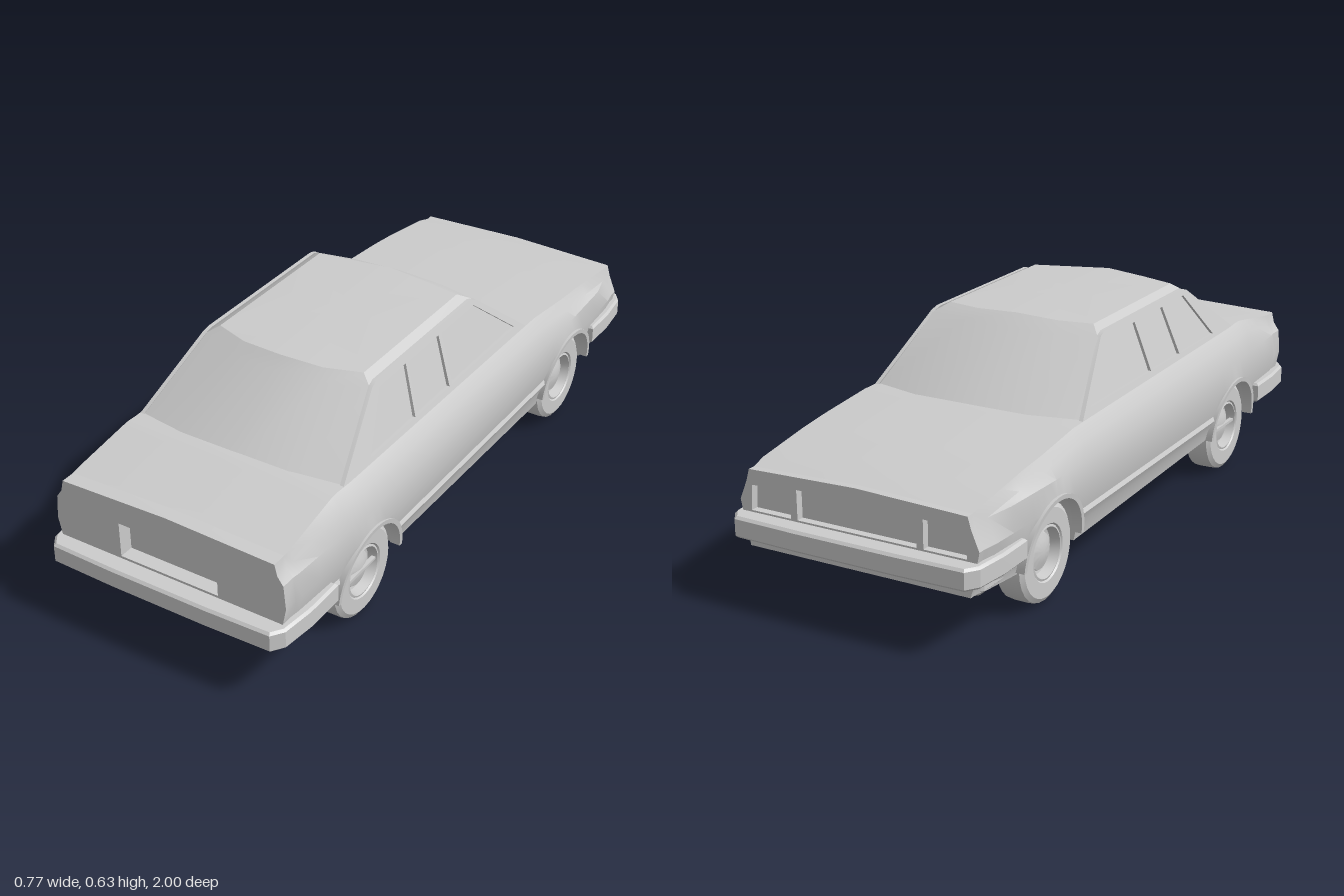
import * as THREE from 'three';
import { toCreasedNormals } from 'three/addons/utils/BufferGeometryUtils.js';

const material = new THREE.MeshStandardMaterial({ color: 0xcccccc, side: THREE.DoubleSide });

// Piecewise linear lookup in a list of [key, value] pairs
function lerpTable(table, k) {
  if (k <= table[0][0]) return table[0][1];
  for (let i = 1; i < table.length; i++) {
    const [k0, v0] = table[i - 1], [k1, v1] = table[i];
    if (k <= k1) return v0 + (v1 - v0) * (k - k0) / (k1 - k0);
  }
  return table[table.length - 1][1];
}

function part(name, geometry, crease = 0.5) {
  const mesh = new THREE.Mesh(toCreasedNormals(geometry, crease), material);
  mesh.name = name;
  return mesh;
}

// Skin over rings of Vector3, closed by a fan at each end
function loft(rings, startCentre, endCentre) {
  const n = rings[0].length, pos = [], index = [];
  for (const ring of rings) for (const p of ring) pos.push(p.x, p.y, p.z);
  pos.push(...startCentre, ...endCentre);
  const s = rings.length * n, last = s - n;
  for (let i = 0; i < n; i++) {
    const j = (i + 1) % n;
    for (let r = 0; r < last; r += n) {
      index.push(r + i, r + j, r + n + j, r + i, r + n + j, r + n + i);
    }
    index.push(s, j, i, s + 1, last + i, last + j);
  }
  const g = new THREE.BufferGeometry();
  g.setAttribute('position', new THREE.Float32BufferAttribute(pos, 3));
  g.setIndex(index);
  return g;
}

// Body measures along the length (z) and up the side (y)
const deck = [[-0.95, 0.36], [-0.9, 0.375], [-0.7, 0.403], [-0.42, 0.43], [0.6, 0.442], [0.68, 0.445], [0.92, 0.405], [0.95, 0.395]];
const deckHalf = [[-0.95, 0.348], [-0.7, 0.34], [-0.4, 0.332], [0.65, 0.33], [0.92, 0.35]];
const taper = [[-0.95, 0.935], [-0.88, 0.965], [-0.6, 1], [0.6, 1], [0.88, 0.965], [0.95, 0.94]];
const floorY = [[-0.93, 0.155], [-0.75, 0.14], [-0.47, 0.12], [0.47, 0.14], [0.72, 0.14], [0.93, 0.165]];
const side = [[0.12, 0.345], [0.17, 0.357], [0.2, 0.372], [0.212, 0.366], [0.28, 0.381], [0.35, 0.375], [0.41, 0.355]];
const wheels = [{ z: 0.56, y: 0.137 }, { z: -0.59, y: 0.147 }];
const archR = 0.148, FRONT = -0.925, REAR = 0.905;

// Cross-section of the body; archY is the height of the wheel opening
function section(z, archY = 0) {
  const f = lerpTable(floorY, z), a = Math.max(f, archY), d = lerpTable(deck, z);
  const t = lerpTable(taper, z), shoulder = d - 0.033;
  const half = [[0.26, f], [0.26, a]];
  for (const y of [a, 0.17, 0.2, 0.212, 0.28, 0.35, shoulder]) {
    const h = Math.min(Math.max(y, a), shoulder);
    half.push([(h === shoulder ? 0.357 : lerpTable(side, h)) * t, h]);
  }
  half.push([lerpTable(deckHalf, z) * t, d]);
  const mirrored = half.map(([x, y]) => [-x, y]).reverse();
  return [[0, f], ...half, [0, d + 0.01], ...mirrored].map(([x, y]) => new THREE.Vector3(x, y, z));
}

function bodyGeometry() {
  const stations = [FRONT, -0.88, -0.8, -0.42, -0.2, 0.1, 0.35, 0.75, 0.8, 0.88, REAR].map(z => [z, 0]);
  for (const w of wheels) {
    stations.push([w.z - archR - 0.001, 0], [w.z + archR + 0.001, 0]);
    for (let i = 0; i <= 14; i++) {
      const a = Math.PI * i / 14;
      stations.push([w.z - archR * Math.cos(a), w.y + archR * Math.sin(a)]);
    }
  }
  stations.sort((p, q) => p[0] - q[0]);
  return loft(stations.map(([z, a]) => section(z, a)), [0, 0.28, FRONT], [0, 0.28, REAR]);
}

function polygon(points) {
  return new THREE.Shape(points.map(([x, y]) => new THREE.Vector2(x, y)));
}

// End panel with recesses cut through to the body behind it
function endPanel(name, z, depth, holes) {
  const pts = section(z).map(p => [p.x, p.y])
    .filter((p, i, all) => i === 0 || Math.hypot(p[0] - all[i - 1][0], p[1] - all[i - 1][1]) > 1e-4);
  const shape = polygon(pts);
  shape.holes = holes.map(polygon);
  const g = new THREE.ExtrudeGeometry(shape, { depth, bevelEnabled: false });
  g.translate(0, 0, z < 0 ? z - depth : z);
  return part(name, g);
}

// Wrap-round bar: plan outline given for one side, mirrored
function bar(name, half, top, height, bevel) {
  const shape = polygon([...half, ...half.map(([x, z]) => [-x, z]).reverse()]);
  const g = new THREE.ExtrudeGeometry(shape, {
    depth: height - 2 * bevel, bevelEnabled: true, bevelSize: bevel, bevelThickness: bevel, bevelOffset: -bevel, bevelSegments: 1
  });
  g.rotateX(Math.PI / 2);
  g.translate(0, top - bevel, 0);
  return part(name, g, 0.4);
}

// Window frame, leaned inwards to follow the cabin side
function sideFrame() {
  const shape = polygon([[-0.37, 0.428], [-0.155, 0.604], [-0.13, 0.612], [0.375, 0.612], [0.4, 0.604], [0.645, 0.428]]);
  shape.holes = [
    [[-0.31, 0.452], [-0.138, 0.594], [0.045, 0.594], [0.06, 0.452]],
    [[0.075, 0.452], [0.06, 0.594], [0.225, 0.594], [0.25, 0.452]],
    [[0.26, 0.452], [0.235, 0.594], [0.37, 0.594], [0.49, 0.452]]
  ].map(polygon);
  const g = new THREE.ExtrudeGeometry(shape, { depth: 0.012, bevelEnabled: false });
  const p = g.attributes.position;
  for (let i = 0; i < p.count; i++) {
    const z = p.getX(i), y = p.getY(i);
    p.setXYZ(i, 0.32 - (y - 0.43) * 0.335 + p.getZ(i), y, z);
  }
  return part('sideWindowFrame', g);
}

// Cabin: rings from the belt line up to the roof
function cabinGeometry() {
  const levels = [ // y, half width, front centre, front corner, rear corner, rear centre
    [0.425, 0.324, -0.435, -0.365, 0.645, 0.695],
    [0.6, 0.267, -0.195, -0.16, 0.4, 0.46],
    [0.624, 0.232, -0.145, -0.12, 0.375, 0.425]
  ];
  const rings = levels.map(([y, x, fc, fe, re, rc], i) => {
    const mid = y + (i === 2 ? 0.007 : 0);
    const v = (a, b, c) => new THREE.Vector3(a, b, c);
    const q = 0.55;
    return [v(0, mid, rc), v(x * q, y, rc - (rc - re) * 0.3), v(x, y, re), v(x, y, 0.12), v(x, y, fe), v(x * q, y, fc + (fe - fc) * 0.3),
      v(0, mid, fc), v(-x * q, y, fc + (fe - fc) * 0.3), v(-x, y, fe), v(-x, y, 0.12), v(-x, y, re), v(-x * q, y, rc - (rc - re) * 0.3)];
  });
  return loft(rings, [0, 0.425, 0.12], [0, 0.634, 0.13]);
}

// Wheel turned about the x axis, outer face towards +x
function wheel(crossBar) {
  const group = new THREE.Group();
  const turn = (name, pts) => {
    const g = new THREE.LatheGeometry(pts.map(([r, x]) => new THREE.Vector2(r, x)), 28);
    g.rotateZ(-Math.PI / 2);
    group.add(part(name, g, 0.6));
  };
  turn('tyre', [[0, -0.043], [0.122, -0.043], [0.135, -0.034], [0.137, -0.02], [0.137, 0.02], [0.135, 0.033], [0.122, 0.042], [0.08, 0.042], [0.075, 0.036]]);
  turn('rim', [[0.076, 0.038], [0.07, 0.04], [0.064, 0.012], [0.054, 0.01], [0.05, 0.02], [0.03, 0.026], [0, 0.032]]);
  if (crossBar) {
    const spoke = part('wheelBar', new THREE.BoxGeometry(0.012, 0.008, 0.13));
    spoke.position.x = 0.03;
    group.add(spoke);
  }
  return group;
}

// Raised lip round a wheel opening
function archLip() {
  const shape = new THREE.Shape();
  shape.absarc(0, 0, 0.159, 0, Math.PI, false);
  shape.absarc(0, 0, 0.146, Math.PI, 0, true);
  const g = new THREE.ExtrudeGeometry(shape, { depth: 0.03, bevelEnabled: false, curveSegments: 14 });
  g.rotateY(Math.PI / 2);
  const p = g.attributes.position;
  for (let i = 0; i < p.count; i++) p.setX(i, p.getX(i) + 0.341 + 0.1 * p.getY(i));
  return part('wheelArchLip', g);
}

export function createModel() {
  const car = new THREE.Group();
  car.name = 'saloonCar';
  car.add(part('body', bodyGeometry(), 0.45), part('cabin', cabinGeometry(), 0.4));

  // Boot panel with number plate recess, nose with grille and lamp recesses
  car.add(endPanel('bootPanel', REAR, 0.042, [[[-0.155, 0.235], [0.155, 0.235], [0.155, 0.34], [-0.155, 0.34]]]));
  const lamp = [[0.2, 0.255], [0.325, 0.255], [0.32, 0.325], [0.2, 0.335]];
  car.add(endPanel('nosePanel', FRONT, 0.022, [
    [[-0.18, 0.255], [0.18, 0.255], [0.18, 0.338], [-0.18, 0.338]],
    lamp, lamp.map(([x, y]) => [-x, y])
  ]));

  // Bumpers and the valances below them
  const wrap = [[0.381, 0.735], [0.381, 0.86], [0.37, 0.96], [0.345, 0.995], [0.15, 1]];
  const frontBumper = bar('frontBumper', wrap.map(([x, z]) => [x, Math.max(z, 0.75)]), 0.25, 0.06, 0.007);
  const frontValance = bar('frontValance', [[0.345, 0.755], [0.345, 0.9], [0.32, 0.93]], 0.2, 0.06, 0.018);
  frontBumper.rotation.y = frontValance.rotation.y = Math.PI;
  car.add(frontBumper, frontValance, bar('rearBumper', wrap, 0.228, 0.062, 0.007));

  // Wheels, arch lips and window frames on both sides
  for (const s of [1, -1]) {
    const half = new THREE.Group();
    half.name = s > 0 ? 'leftSide' : 'rightSide';
    half.rotation.y = s > 0 ? 0 : Math.PI;
    for (const w of wheels) {
      const rear = w.z > 0;
      const unit = wheel(rear);
      unit.name = rear ? 'rearWheel' : 'frontWheel';
      unit.position.set(0.308, rear ? w.y : w.y - 0.005, s * w.z);
      const lip = archLip();
      lip.position.set(0, w.y, s * w.z);
      half.add(unit, lip);
    }
    car.add(half);
    const frame = sideFrame();
    frame.scale.x = s;
    car.add(frame);
  }
  return car;
}
